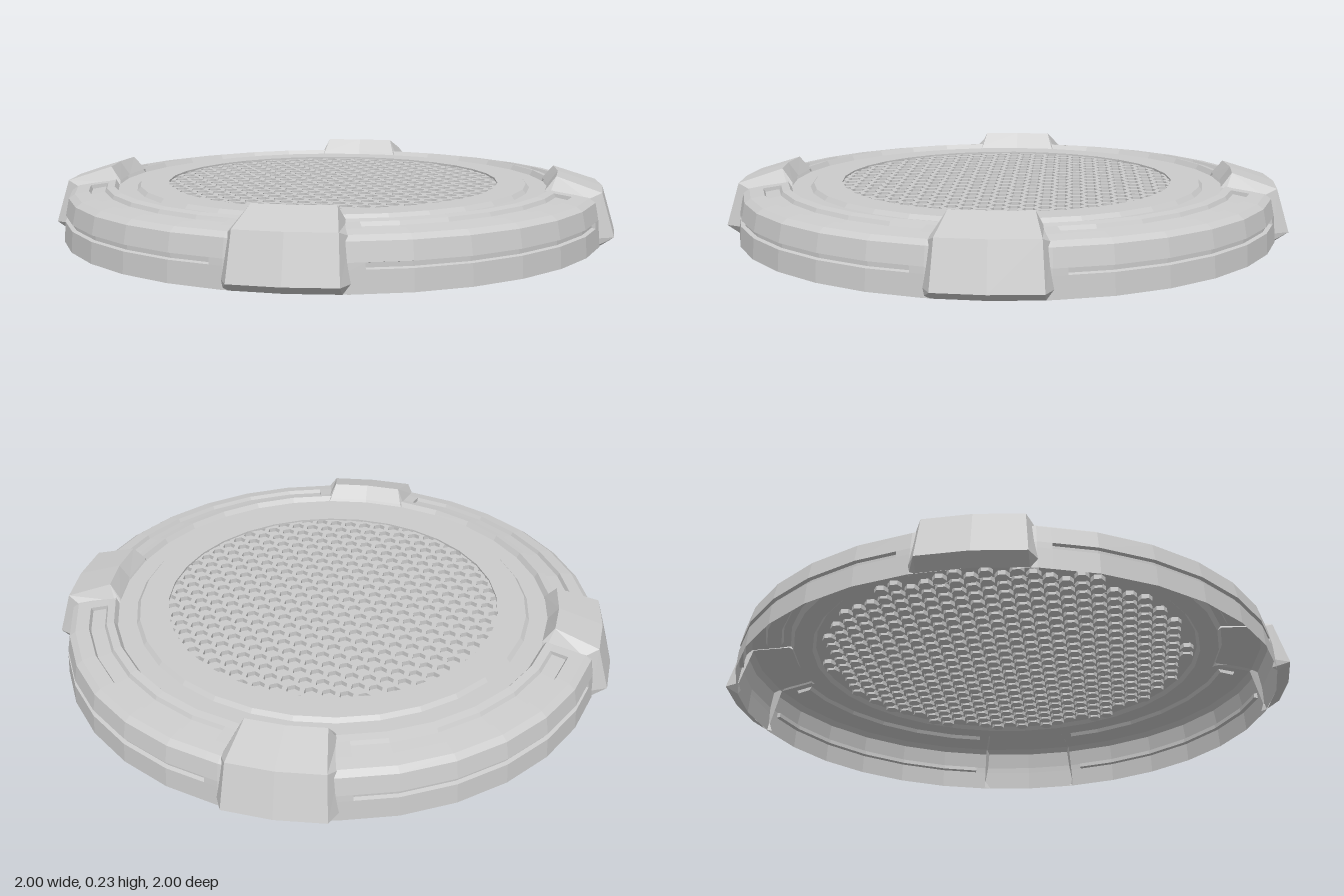
import * as THREE from 'three';
import { mergeGeometries } from 'three/addons/utils/BufferGeometryUtils.js';

const material = new THREE.MeshStandardMaterial({ color: 0xcccccc, flatShading: true, side: THREE.DoubleSide });
const rad = THREE.MathUtils.degToRad;
const STEP = 360 / 32;

// Skin over rows of points; rows run left to right, points run up and inward
function skin(rows) {
  const n = rows[0].length;
  const index = [];
  for (let i = 0; i < rows.length - 1; i++) {
    for (let j = 0; j < n - 1; j++) {
      const a = i * n + j, b = a + n;
      index.push(a, b, b + 1, a, b + 1, a + 1);
    }
  }
  const geometry = new THREE.BufferGeometry().setFromPoints(rows.flat());
  geometry.setIndex(index);
  const flat = geometry.toNonIndexed();
  flat.computeVertexNormals();
  return flat;
}

// Point on a 32-sided round at the given angle in degrees
function polar([r, y], angle) {
  const mid = (Math.floor(angle / STEP) + 0.5) * STEP;
  const k = Math.cos(rad(STEP / 2)) / Math.cos(rad(angle - mid));
  return new THREE.Vector3(r * k * Math.sin(rad(angle)), y, r * k * Math.cos(rad(angle)));
}
const sweep = (profile, angles) => skin(angles.map(a => profile.map(p => polar(p, a))));

function addMesh(parent, geometry, name) {
  const mesh = new THREE.Mesh(geometry, material);
  mesh.name = name;
  parent.add(mesh);
  return mesh;
}

// Cross-sections of the shell: [radius, height]
const groove = [[0.95, 0.07], [0.936, 0.073], [0.936, 0.088], [0.948, 0.091]];
const slot = [[0.868, 0.173], [0.861, 0.16], [0.813, 0.168], [0.806, 0.181]];
const foot = [0.955, 0];
const rim = [[0.936, 0.15], [0.915, 0.165]];
const deck = [[0.78, 0.186], [0.768, 0.168], [0.702, 0.168], [0.69, 0.182], [0.59, 0.182], [0.59, 0.174]];
const slotted = [foot, ...groove, ...rim, ...slot, ...deck];
const plain = [foot, groove[0], groove[3], ...rim, slot[0], slot[3], ...deck];

function shellQuarter() {
  const end = 14;
  const parts = [
    sweep(plain, [-end, -STEP, 0, STEP, end]),
    sweep(slotted, [end, 22.5, 33.75, 45, 56.25, 67.5, 90 - end]),
  ];
  // Walls closing the ends of the groove and the slot
  for (const angle of [end, 90 - end]) {
    for (const [a, b, c, d] of [groove, slot]) {
      const rows = [[a, d], [b, c]].map(row => row.map(p => polar(p, angle)));
      parts.push(skin(angle === end ? rows.reverse() : rows));
    }
  }
  return mergeGeometries(parts);
}

// Clamp stations from foot to inner tip: [face radius, face y, face half width, side radius, side y, side half width]
const stations = [
  [0.955, 0, 0.165, 0.94, 0, 0.19],
  [1.0, 0.03, 0.165, 0.95, 0.03, 0.19],
  [0.955, 0.18, 0.155, 0.91, 0.16, 0.18],
  [0.8, 0.23, 0.13, 0.785, 0.178, 0.155],
  [0.765, 0.182, 0.145, 0.765, 0.168, 0.15],
];

function clampGeometry() {
  const at = (r, y, x) => new THREE.Vector3(x, y, Math.sqrt(r * r - x * x));
  const rows = [
    stations.map(s => at(s[3], s[4], -s[5])),
    stations.map(s => at(s[0], s[1], -s[2])),
    stations.map(s => at(s[0], s[1], 0)),
    stations.map(s => at(s[0], s[1], s[2])),
    stations.map(s => at(s[3], s[4], s[5])),
  ];
  return skin(rows);
}

// Honeycomb sheet made of dimpled hexagonal cells
function grateGeometry() {
  const pitch = 0.058, outer = pitch / Math.sqrt(3), hole = 0.024, depth = 0.016;
  const top = new THREE.RingGeometry(hole, outer, 6, 1).rotateX(-Math.PI / 2).rotateY(Math.PI / 6);
  const wall = new THREE.CylinderGeometry(hole, hole, depth, 6, 1, true).translate(0, -depth / 2, 0);
  const floor = new THREE.CircleGeometry(hole, 6).rotateX(-Math.PI / 2).rotateY(Math.PI / 6).translate(0, -depth, 0);
  const cell = mergeGeometries([top, wall, floor]);
  const cells = [];
  for (let row = -13; row <= 13; row++) {
    for (let col = -13; col <= 13; col++) {
      const x = (col + (Math.abs(row) % 2) / 2) * pitch;
      const z = row * outer * 1.5;
      if (Math.hypot(x, z) < 0.655) cells.push(cell.clone().translate(x, 0.176, z));
    }
  }
  return mergeGeometries(cells);
}

export function createModel() {
  const model = new THREE.Group();
  model.name = 'roundPlatform';
  const shell = shellQuarter();
  const clamp = clampGeometry();
  for (let i = 0; i < 4; i++) {
    addMesh(model, shell, 'platformShell').rotation.y = i * Math.PI / 2;
    addMesh(model, clamp, 'rimClamp').rotation.y = i * Math.PI / 2;
  }
  addMesh(model, grateGeometry(), 'honeycombGrate');
  return model;
}
